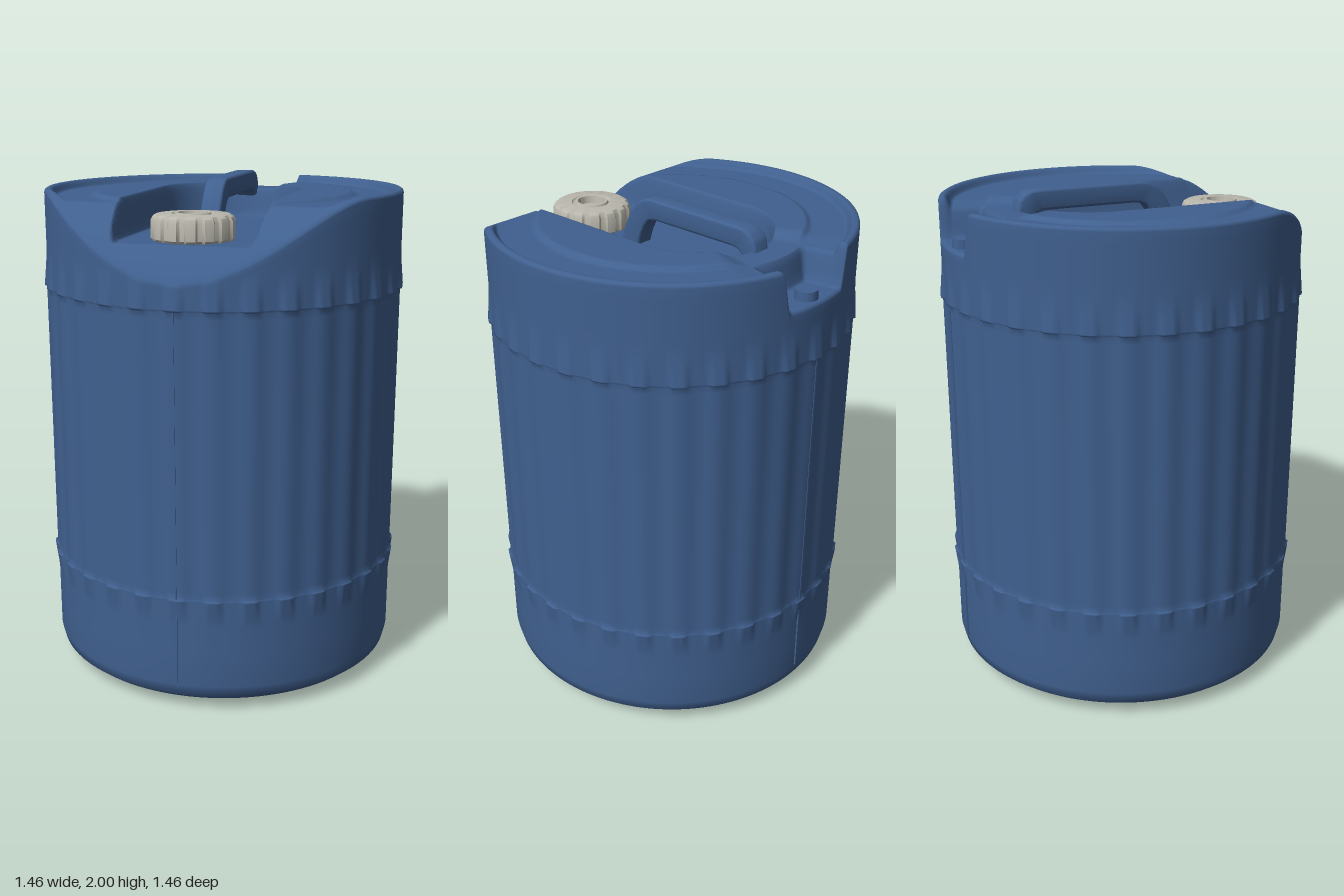
import * as THREE from 'three';
import { toCreasedNormals } from 'three/addons/utils/BufferGeometryUtils.js';

const { smoothstep, lerp } = THREE.MathUtils;
const blue = new THREE.MeshStandardMaterial({ color: 0x40608f });
blue.name = 'blue plastic';
const grey = new THREE.MeshStandardMaterial({ color: 0xbab8ad });
grey.name = 'pale grey plastic';

const R = 0.716;          // drum radius
const RIBS = 32;          // tabs and flutes around the wall
const N = RIBS * 12;      // columns of the body grid
const U_Z = -0.135;       // centre of the round end of the handle recess
const U_A = 0.275;        // half width of the recess
const FLOOR = 1.8;

// Distance along a ray at angle t to a U outline of half width a, open to the front
function rayToRecess(t, a) {
  const s = Math.abs(Math.sin(t)), c = Math.cos(t);
  const side = s > 1e-6 ? a / s : Infinity;
  const r = side * c >= U_Z ? side : U_Z * c + Math.sqrt(a * a - U_Z * U_Z * s * s);
  return Math.min(r, 0.63 + a - U_A);
}

// Height of the top: rim, sunken ring, handle recess, rear notch, sloped front
function topHeight(r, t) {
  const x = r * Math.sin(t), z = r * Math.cos(t);
  const fromBack = Math.abs(Math.PI - t);
  let y = 1.945 - 0.015 * smoothstep(r, 0.515, 0.53);
  const saddle = (1 - smoothstep(fromBack, 0.26, 0.45)) * smoothstep(r, 0.36, 0.41);
  y = lerp(y, 1.92, saddle);
  y = lerp(y, 1.96, smoothstep(r, 0.665, 0.69));
  const notch = (1 - smoothstep(fromBack, 0.205, 0.26)) * smoothstep(r, 0.54, 0.57);
  y = lerp(y, FLOOR, notch);
  const d = (z < U_Z ? Math.hypot(x, z - U_Z) : Math.abs(x)) - U_A;
  y = lerp(FLOOR, y, smoothstep(d, -0.018, 0.018));
  return Math.min(y, 1.96 - 1.9 * Math.max(0, z - 0.33) ** 2);
}

// Wall radius: soft flutes between two rows of raised tabs
function wallRadius(y, t) {
  const wave = Math.cos(RIBS * t);
  const tab = smoothstep(wave, -0.2, 0.5);
  if (y >= 1.58) return R + 0.013 * tab * Math.max(0, 1 - (y - 1.58) / 0.13);
  if (y <= 0.47) return R + 0.013 * tab * Math.max(0, 1 - (0.47 - y) / 0.1);
  return R + 0.004 * wave;
}

// One closed grid running from the middle of the base, up the wall, to the middle of the top
function bodyGeometry() {
  const rows = []; // each row maps an angle to [radius, height]
  const base = [[0, 0.03], [0.22, 0.03], [0.25, 0.012], [0.28, 0.012], [0.3, 0.03], [0.44, 0.025],
    [0.455, 0.002], [0.58, 0], [0.62, 0.008], [0.675, 0.04], [0.705, 0.065], [R, 0.11]];
  for (const p of base) rows.push(() => p);
  for (const y of [0.25, 0.36, 0.39, 0.43, 0.465, 0.47, 0.475, 0.5, 0.8, 1.1, 1.4, 1.55, 1.575, 1.58, 1.585, 1.6])
    rows.push(t => [wallRadius(y, t), y]);
  for (let i = 1; i <= 8; i++) rows.push(t => {
    const y = lerp(1.6, topHeight(0.712, t) - 0.014, i / 8);
    return [wallRadius(y, t), y];
  });
  rows.push(t => [R - 0.003, topHeight(0.712, t) - 0.005]);
  for (const r of [0.705, 0.695, 0.69, 0.683, 0.677, 0.671, 0.665, 0.66])
    rows.push(t => [r, topHeight(r, t)]);
  const ring = (radius) => rows.push(t => [radius(t), topHeight(radius(t), t)]);
  for (let i = 1; i <= 30; i++) ring(t => lerp(0.655, rayToRecess(t, U_A + 0.02), i / 30));
  for (let d = 0.018; d > -0.02; d -= 0.0045) ring(t => rayToRecess(t, U_A + d));
  for (const k of [0.9, 0.75, 0.5, 0.25, 0]) ring(t => k * rayToRecess(t, U_A - 0.02));

  const pos = [], index = [];
  rows.forEach((row, i) => {
    for (let j = 0; j < N; j++) {
      const t = (j / N) * Math.PI * 2;
      const [r, y] = row(t);
      pos.push(r * Math.sin(t), y, r * Math.cos(t));
      if (i === rows.length - 1) continue;
      const a = i * N + j, b = i * N + (j + 1) % N;
      index.push(a, b, a + N, b, b + N, a + N);
    }
  });
  const g = new THREE.BufferGeometry();
  g.setAttribute('position', new THREE.Float32BufferAttribute(pos, 3));
  g.setIndex(index);
  g.computeVertexNormals();
  return g;
}

// Carrying bar: side profile drawn in (z, y), extruded across x
function handleGeometry() {
  const s = new THREE.Shape();
  s.moveTo(-0.44, 1.9);
  s.lineTo(-0.43, 1.95);
  s.quadraticCurveTo(-0.41, 1.99, -0.35, 1.99);
  s.lineTo(0.08, 1.99);
  s.quadraticCurveTo(0.13, 1.985, 0.16, 1.945);
  s.quadraticCurveTo(0.21, 1.88, 0.23, 1.79);
  s.lineTo(0.16, 1.79);
  s.quadraticCurveTo(0.14, 1.88, 0.1, 1.915);
  s.quadraticCurveTo(0.08, 1.93, 0.04, 1.93);
  s.lineTo(-0.33, 1.93);
  s.quadraticCurveTo(-0.37, 1.93, -0.39, 1.9);
  const g = new THREE.ExtrudeGeometry(s, {
    depth: 0.06, bevelThickness: 0.01, bevelSize: 0.01, bevelSegments: 3, curveSegments: 10,
  });
  g.translate(0, 0, -0.03).rotateY(-Math.PI / 2);
  return toCreasedNormals(g, 0.7);
}

// Screw cap: lathe with grip scallops pressed into its outer edge
function capGeometry() {
  const profile = [[0.12, 0], [0.15, 0.003], [0.157, 0.012], [0.157, 0.075], [0.15, 0.09], [0.138, 0.097],
    [0.08, 0.1], [0.075, 0.094], [0.07, 0.094], [0.066, 0.103], [0.055, 0.103], [0.05, 0.075], [0, 0.075]];
  const g = new THREE.LatheGeometry(profile.map(p => new THREE.Vector2(...p)), 112);
  const p = g.attributes.position;
  for (let i = 0; i < p.count; i++) {
    const x = p.getX(i), z = p.getZ(i);
    if (Math.hypot(x, z) < 0.145) continue;
    const k = 1 - 0.06 * smoothstep(Math.cos(14 * Math.atan2(x, z)), 0.1, 0.8);
    p.setX(i, x * k);
    p.setZ(i, z * k);
  }
  return toCreasedNormals(g, 0.6);
}

export function createModel() {
  const model = new THREE.Group();
  model.name = 'drum';
  const add = (name, geometry, material, x, y, z) => {
    const mesh = new THREE.Mesh(geometry, material);
    mesh.name = name;
    mesh.position.set(x, y, z);
    model.add(mesh);
  };
  add('body', bodyGeometry(), blue, 0, 0, 0);
  add('handle', handleGeometry(), blue, 0, 0, 0);
  add('cap', capGeometry(), grey, 0, FLOOR - 0.002, 0.45);
  add('ventPlug', new THREE.CylinderGeometry(0.042, 0.045, 0.05, 32), blue, 0, FLOOR + 0.01, -0.655);
  // Mould seams down the front and back
  add('frontSeam', new THREE.BoxGeometry(0.007, 1.46, 0.014), blue, 0, 0.85, 0.7155);
  add('backSeam', new THREE.BoxGeometry(0.007, 1.46, 0.014), blue, 0, 0.85, -0.7155);
  return model;
}
